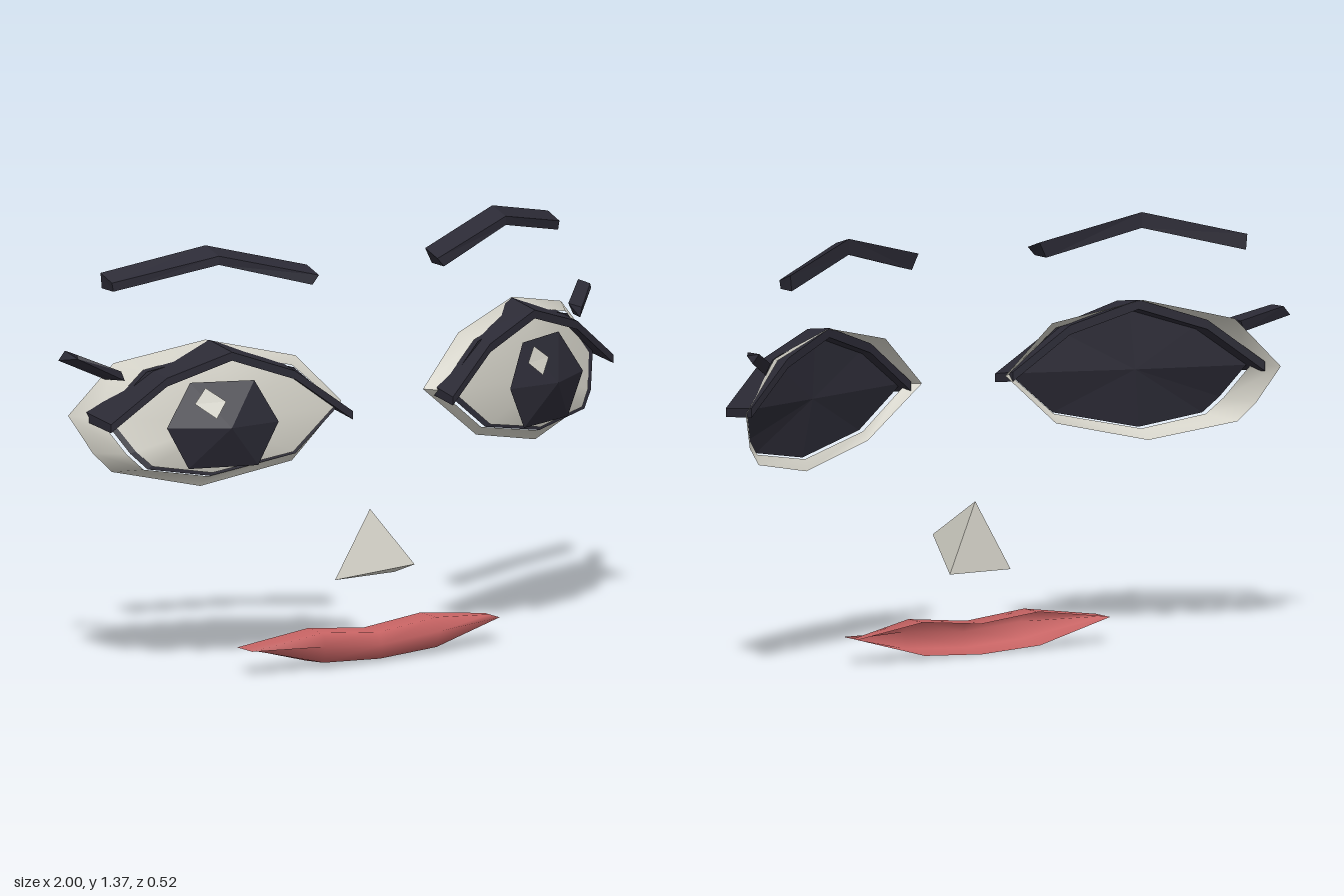
import * as THREE from 'three';

const make = (name, color) => {
  const m = new THREE.MeshStandardMaterial({ color, side: THREE.DoubleSide });
  m.name = name;
  return m;
};

// Builds a mesh from points and triangle indices, faceted or smooth
function build(name, points, index, material, smooth) {
  let g = new THREE.BufferGeometry();
  g.setAttribute('position', new THREE.Float32BufferAttribute(points.flat(), 3));
  g.setIndex(index);
  if (!smooth) g = g.toNonIndexed();
  g.computeVertexNormals();
  const mesh = new THREE.Mesh(g, material);
  mesh.name = name;
  return mesh;
}

// Skins a row of cross-sections; closed joins each section's ends, caps fills the first and last
function loft(name, sections, material, { closed = true, caps = true, smooth = false } = {}) {
  const n = sections[0].length, index = [];
  for (let i = 0; i + 1 < sections.length; i++)
    for (let j = 0; j < (closed ? n : n - 1); j++) {
      const a = i * n + j, b = i * n + (j + 1) % n;
      index.push(a, b, a + n, b, b + n, a + n);
    }
  if (caps) for (let j = 1; j + 1 < n; j++) {
    const e = (sections.length - 1) * n;
    index.push(0, j + 1, j, e, e + j, e + j + 1);
  }
  return build(name, sections.flat(), index, material, smooth);
}

// Shallow dome or plate: triangles from a centre to a ring
function fan(name, centre, ring, material, smooth) {
  const index = [];
  ring.forEach((_, i) => index.push(0, i + 1, (i + 1) % ring.length + 1));
  return build(name, [centre, ...ring], index, material, smooth);
}

export function createModel() {
  const model = new THREE.Group();
  model.name = 'face';
  const white = make('offWhite', 0xd0cec4);
  const dark = make('darkLiner', 0x2b2a35);
  const red = make('lipRed', 0xc66363);

  // Outlines of the eye on the +x side, counter-clockwise from the inner corner
  const rimOuter = [[0.155, 0.857, 0.08], [0.35, 0.69, 0.09], [0.636, 0.626, 0], [0.89, 0.68, -0.12],
    [0.942, 0.74, -0.15], [0.995, 0.857, -0.21], [0.85, 1.015, -0.17], [0.583, 1.08, -0.05], [0.31, 1.015, 0.05]];
  const eyeEdge = [[0.2, 0.855, 0.13], [0.36, 0.72, 0.125], [0.625, 0.664, 0.04], [0.83, 0.7, -0.01],
    [0.875, 0.75, -0.04], [0.93, 0.855, -0.11], [0.8, 1.0, -0.06], [0.583, 1.055, 0.03], [0.35, 0.99, 0.1]];
  const scaled = (ring, s, dz) => ring.map(([x, y, z]) =>
    [0.6 + (x - 0.6) * s, 0.85 + (y - 0.85) * s, z + dz]);
  const iris = [[0.44, 0.835, 0.148], [0.505, 0.7, 0.13], [0.72, 0.7, 0.058],
    [0.79, 0.835, 0.04], [0.7, 0.97, 0.036], [0.51, 0.97, 0.115]];

  // Upper lash stations: x, y, front z, back z
  const lash = [[0.19, 0.865, 0.195, 0.09], [0.37, 1.005, 0.14, 0.04], [0.575, 1.08, 0.087, -0.04],
    [0.78, 1.01, 0.025, -0.12], [0.955, 0.872, -0.03, -0.18]];
  // Brow stations: x at top, x at bottom, top y, front z, back z
  const brow = [[0.225, 0.25, 1.285, 0.058, -0.01], [0.545, 0.545, 1.368, -0.03, -0.105],
    [0.85, 0.845, 1.292, -0.178, -0.242]];

  function eyeGroup(name, side) {
    const g = new THREE.Group();
    g.name = name;
    const flip = p => p.map(([x, y, z]) => [x * side, y, z]);
    const ringClosed = r => [...r, r[0]];

    const outer = ringClosed(rimOuter), inner = ringClosed(scaled(eyeEdge, 1.02, -0.015));
    g.add(loft('eyeRim', [flip(outer), flip(inner)], white, { closed: false, caps: false, smooth: true }));
    g.add(fan('eyeBacking', [0.6 * side, 0.85, 0.02], flip(eyeEdge), dark));
    g.add(fan('eyeWhite', [0.61 * side, 0.85, 0.105], flip(scaled(eyeEdge, 0.94, 0.008)), white, true));
    g.add(fan('iris', [0.62 * side, 0.835, 0.152], flip(iris), dark));

    // The glint sits on the same viewer side of both eyes
    const glint = side > 0
      ? [[0.51, 0.91, 0.146], [0.545, 0.957, 0.126], [0.6, 0.915, 0.128], [0.56, 0.867, 0.155]]
      : [[0.71, 0.91, 0.078], [0.67, 0.957, 0.078], [0.62, 0.915, 0.12], [0.66, 0.865, 0.127]];
    g.add(build('glint', flip(glint), [0, 1, 2, 0, 2, 3], white));

    g.add(loft('upperLash', lash.map(([x, y, f, b]) => flip([
      [x, y - 0.045, f], [x, y - 0.018, f], [x, y, b], [x, y - 0.03, b]])), dark));
    g.add(loft('lashTick', [
      flip([[0.865, 0.975, -0.085], [0.875, 1.005, -0.09], [0.875, 1.005, -0.165], [0.89, 0.97, -0.16]]),
      flip([[0.975, 1.04, -0.185], [0.975, 1.053, -0.19], [0.975, 1.055, -0.257], [1.0, 1.026, -0.257]])], dark));
    g.add(loft('eyebrow', brow.map(([xt, xb, y, f, b]) => flip([
      [xb, y - 0.05, f], [xt, y - 0.022, f], [xt, y, b], [xb, y - 0.05, b]])), dark));
    return g;
  }
  model.add(eyeGroup('leftEye', 1), eyeGroup('rightEye', -1));

  // Nose: a four-faced wedge
  model.add(build('nose', [[0, 0.48, 0.012], [-0.113, 0.26, -0.017], [0.113, 0.26, -0.017], [0, 0.345, 0.26]],
    [0, 1, 3, 0, 3, 2, 1, 2, 3, 0, 2, 1], white));

  // Mouth: an open-backed shell tapering to an edge at each corner
  const corner = x => [-0.038, -0.01, 0.045, -0.01, -0.038].map(z => [x, 0.083, z]);
  const lip = (x, top, low, back) => [[x, top, back], [x, top, 0.065], [x, (top + low) / 2 + 0.01, 0.082],
    [x, low + 0.01, 0.068], [x, low, back - 0.008]];
  model.add(loft('mouth', [corner(-0.47), lip(-0.215, 0.117, 0.012, -0.022), lip(0, 0.095, 0, -0.02),
    lip(0.215, 0.117, 0.012, -0.022), corner(0.47)], red, { closed: false, caps: false, smooth: true }));

  return model;
}
